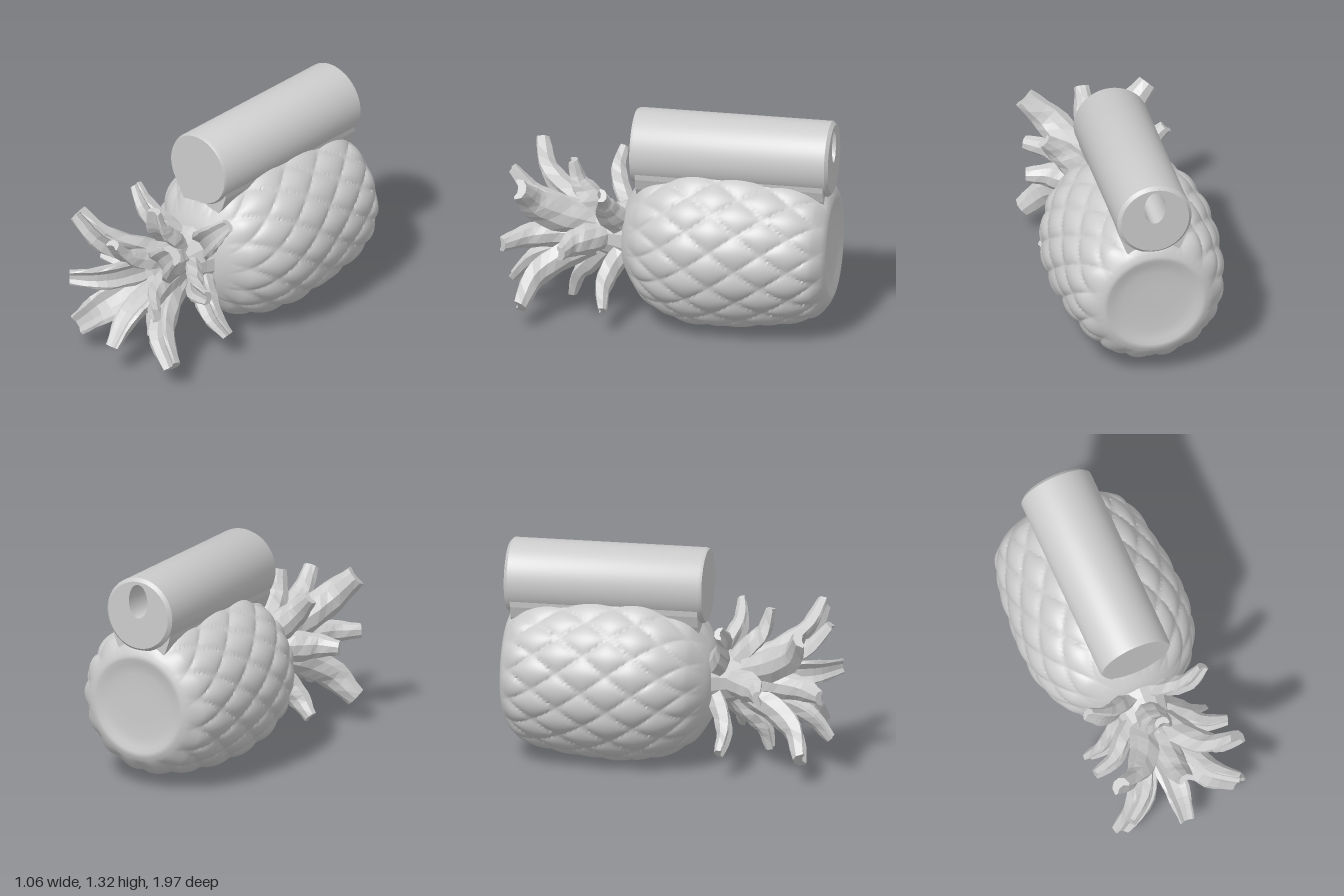
import * as THREE from 'three';
import { toCreasedNormals } from 'three/addons/utils/BufferGeometryUtils.js';

const AXIS_Y = 0.525;
const grey = (opts = {}) => new THREE.MeshStandardMaterial({ color: 0xcccccc, ...opts });

function add(parent, name, geometry, material) {
  const mesh = new THREE.Mesh(geometry, material);
  mesh.name = name;
  parent.add(mesh);
  return mesh;
}

// Fruit: lathe along z, pushed out into a lattice of pillowy diamond scales
function fruitGeometry() {
  const curve = new THREE.CatmullRomCurve3([
    [0.31, -0.99], [0.35, -0.97], [0.42, -0.88], [0.466, -0.72], [0.495, -0.5], [0.508, -0.28],
    [0.485, -0.08], [0.42, 0.08], [0.34, 0.18], [0.21, 0.265], [0.0, 0.3],
  ].map(([r, z]) => new THREE.Vector3(r, z, 0)));
  const wall = curve.getSpacedPoints(120).map((p) => new THREE.Vector2(Math.max(p.x, 0), p.y));
  // Rippled dish at the back
  const dish = [[0, -0.962], [0.06, -0.968], [0.12, -0.964], [0.2, -0.972], [0.26, -0.975], [0.29, -0.99]];
  const points = [...dish.map((d) => new THREE.Vector2(...d)), ...wall];
  const geo = new THREE.LatheGeometry(points, 196);
  const pos = geo.attributes.position;
  const around = 14, pitch = 0.31;
  for (let i = 0; i < pos.count; i++) {
    const x = pos.getX(i), y = pos.getY(i), z = pos.getZ(i);
    const r = Math.hypot(x, z);
    if (r < 0.27) continue;
    const u = (Math.atan2(x, z) / (2 * Math.PI)) * around, v = y / pitch;
    const dome = Math.sqrt(Math.abs(Math.sin(Math.PI * (u + v)) * Math.sin(Math.PI * (u - v))));
    const fade = Math.min(1, (r - 0.27) / 0.1) * THREE.MathUtils.clamp((y + 0.99) / 0.08, 0, 1);
    const k = 1 + ((dome * 0.026 - 0.003) * fade) / r;
    pos.setXYZ(i, x * k, y, z * k);
  }
  geo.rotateX(Math.PI / 2);
  return toCreasedNormals(geo, 0.8);
}

// Leaf: a thick grooved section, slightly ragged, swept along an arc in the x-z plane
function leafGeometry(path, baseWidth, tipWidth) {
  const curve = new THREE.CatmullRomCurve3(path.map(([r, z]) => new THREE.Vector3(r, 0, z)));
  const section = [[-1, 0.3], [-0.85, -0.35], [-0.35, -0.75], [0.35, -0.75], [0.85, -0.35], [1, 0.3],
    [0.75, 0.4], [0.3, 0.1], [-0.3, 0.1], [-0.75, 0.4]];
  const rows = 10, n = section.length, verts = [], index = [];
  for (let i = 0; i <= rows; i++) {
    const t = i / rows, p = curve.getPoint(t), d = curve.getTangent(t);
    const belly = 1 + 0.35 * Math.sin(Math.PI * t);
    const w = THREE.MathUtils.lerp(baseWidth, tipWidth, t) * belly * 0.5;
    section.forEach(([s, q], j) => {
      const ragged = 1 + 0.05 * Math.sin(i * 1.9 + j * 1.7);
      const h = q * w * ragged;
      verts.push(p.x - d.z * h, s * w * ragged, p.z + d.x * h);
    });
  }
  for (let i = 0; i < rows; i++) {
    for (let j = 0; j < n; j++) {
      const a = i * n + j, b = i * n + ((j + 1) % n);
      index.push(a, b, a + n, b, b + n, a + n);
    }
  }
  // Blunt tip
  const last = rows * n;
  for (const [a, b, c, d] of [[0, 1, 8, 9], [1, 2, 7, 8], [2, 3, 6, 7], [3, 4, 5, 6]]) {
    index.push(last + a, last + b, last + c, last + a, last + c, last + d);
  }
  const geo = new THREE.BufferGeometry();
  geo.setAttribute('position', new THREE.Float32BufferAttribute(verts, 3));
  geo.setIndex(index);
  geo.computeVertexNormals();
  return geo;
}

function crown() {
  const group = new THREE.Group();
  group.name = 'crown';
  group.position.y = AXIS_Y + 0.01;
  const mat = grey({ flatShading: true, side: THREE.DoubleSide });

  // Stem with a shallow cupped front
  const stem = new THREE.LatheGeometry([[0.21, 0.22], [0.17, 0.32], [0.14, 0.44], [0.17, 0.56],
    [0.16, 0.61], [0.06, 0.56], [0, 0.56]].map((p) => new THREE.Vector2(...p)), 14);
  add(group, 'stem', stem.rotateX(Math.PI / 2), mat);

  const diagonal = [45, 135, 225, 315], cross = [0, 90, 180, 270];
  const tiers = [
    ['outerLeaf', diagonal, [[0.1, 0.27], [0.26, 0.35], [0.39, 0.38], [0.53, 0.36]], 0.16, 0.085],
    ['middleLeaf', cross, [[0.08, 0.38], [0.2, 0.49], [0.29, 0.57], [0.43, 0.605]], 0.17, 0.09],
    ['longLeaf', diagonal, [[0.1, 0.47], [0.19, 0.64], [0.34, 0.8], [0.54, 0.86]], 0.18, 0.13],
    ['innerLeaf', cross, [[0.09, 0.5], [0.13, 0.68], [0.21, 0.85], [0.35, 0.97]], 0.15, 0.09],
  ];
  for (const [name, angles, path, base, tip] of tiers) {
    const geo = leafGeometry(path, base, tip);
    for (const deg of angles) add(group, name, geo, mat).rotation.z = THREE.MathUtils.degToRad(deg);
  }
  return group;
}

// Tube: chamfered cylinder along z, with an oval bore open at the back
function tube() {
  const group = new THREE.Group();
  group.name = 'tube';
  group.position.y = 1.095;
  const R = 0.228, back = -0.985, front = 0.22;

  const skin = [[R - 0.02, back], [R, back + 0.02], [R, front - 0.02], [R - 0.01, front], [0, front]];
  const shell = new THREE.LatheGeometry(skin.map((p) => new THREE.Vector2(...p)), 56);
  add(group, 'tubeShell', toCreasedNormals(shell.rotateX(Math.PI / 2), 0.5), grey());

  const face = new THREE.Shape().absarc(0, 0, R - 0.02, 0, Math.PI * 2);
  face.holes.push(new THREE.Path().absellipse(0, 0.085, 0.065, 0.105, 0, Math.PI * 2, true));
  const bore = new THREE.ExtrudeGeometry(face, { depth: 1.12, bevelEnabled: false, curveSegments: 28 });
  add(group, 'tubeBore', bore, grey()).position.z = back;
  return group;
}

// Saddle: web joining tube and fruit
function saddle() {
  const half = [[0.205, 1.03], [0.195, 0.95], [0.17, 0.88], [0.12, 0.8]];
  const mirrored = half.map(([x, y]) => [-x, y]).reverse();
  const shape = new THREE.Shape([...half, ...mirrored].map((p) => new THREE.Vector2(...p)));
  const geo = new THREE.ExtrudeGeometry(shape, { depth: 1.14, bevelEnabled: false });
  return geo.translate(0, 0, -0.95);
}

export function createModel() {
  const model = new THREE.Group();
  model.name = 'pineappleWithTube';
  add(model, 'fruit', fruitGeometry(), grey()).position.y = AXIS_Y;
  model.add(crown(), tube());
  add(model, 'saddle', saddle(), grey());
  return model;
}
